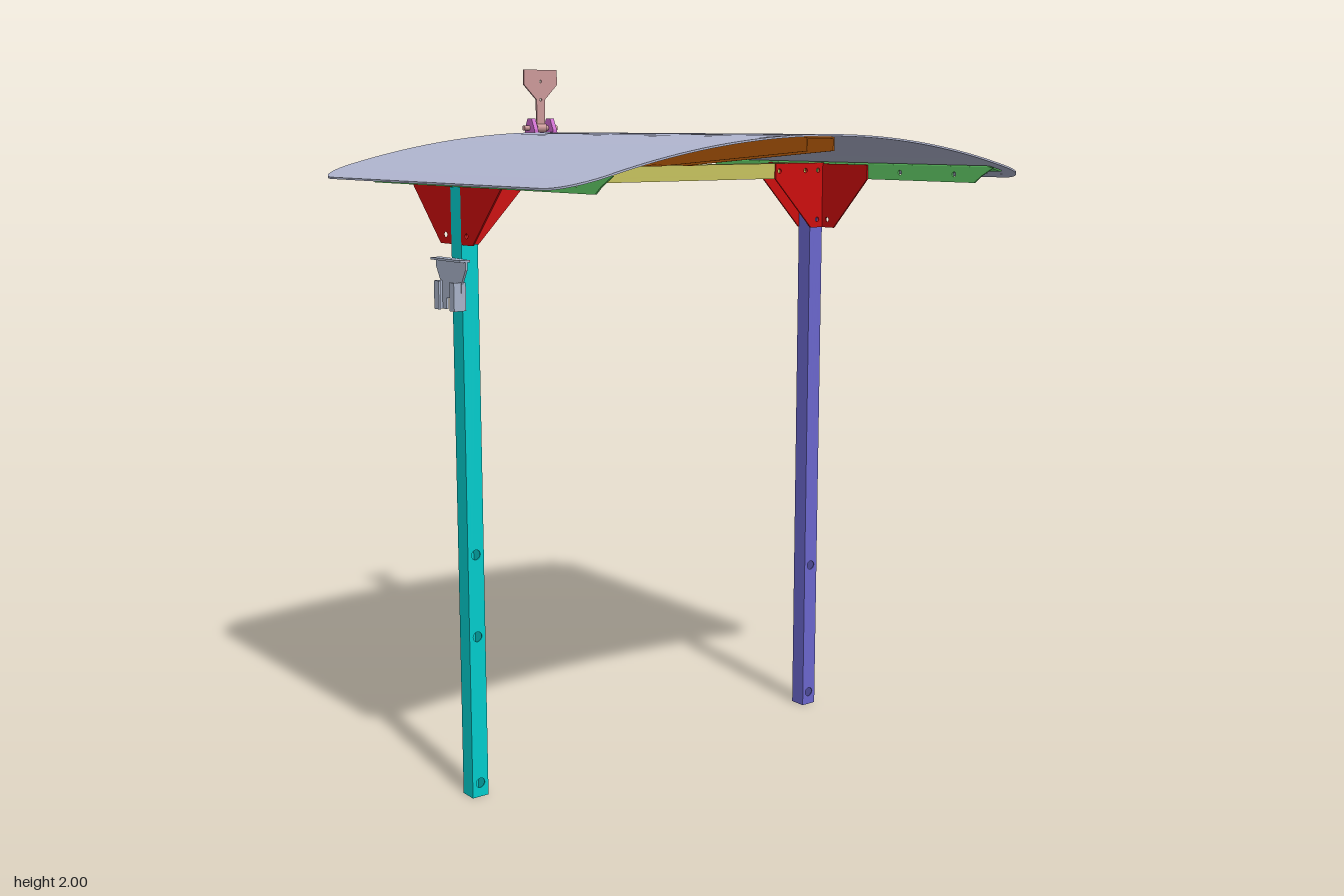
import * as THREE from 'three';

const mat = (name, color) => Object.assign(new THREE.MeshStandardMaterial({ color }), { name });
const M = {
  canopy: mat('pale blue grey', 0xb0b5cf),
  leftPost: mat('violet', 0x6a66cc),
  rightPost: mat('cyan', 0x00cccc),
  beam: mat('olive yellow', 0xc6c25e),
  red: mat('red', 0xcc0c0c),
  green: mat('green', 0x62cc66),
  orange: mat('burnt orange', 0xb85c08),
  magenta: mat('orchid', 0xcc66cc),
  pink: mat('dusty pink', 0xcc9999),
  holder: mat('steel blue grey', 0xa8b2c8),
};

function add(group, name, geometry, material, x = 0, y = 0, z = 0) {
  const mesh = new THREE.Mesh(geometry, material);
  mesh.name = name;
  mesh.position.set(x, y, z);
  group.add(mesh);
  return mesh;
}
const box = (w, h, d) => new THREE.BoxGeometry(w, h, d);

// Flat plate in the xy plane, centred on its thickness; holes are [x, y, radius]
function plate(points, t, holes = []) {
  const shape = new THREE.Shape(points.map(p => new THREE.Vector2(...p)));
  for (const [x, y, r] of holes) {
    const hole = new THREE.Path();
    hole.absarc(x, y, r, 0, Math.PI * 2, true);
    shape.holes.push(hole);
  }
  return new THREE.ExtrudeGeometry(shape, { depth: t, bevelEnabled: false, curveSegments: 8 }).translate(0, 0, -t / 2);
}
// The same, with the first coordinate running along z
const sidePlate = (points, t, holes) => plate(points, t, holes).rotateY(-Math.PI / 2);

// Hollow upright tube; holes are [height, front radius, back radius]
function tube(name, length, w, h, holes, material) {
  const g = new THREE.Group(), t = 0.004, a = w / 2;
  g.name = name;
  const face = [[-a, 0], [a, 0], [a, length], [-a, length]];
  [1, -1].forEach((s, i) => {
    const cuts = holes.filter(q => q[1 + i] > 0).map(q => [0, q[0], q[1 + i]]);
    add(g, i ? 'backWall' : 'frontWall', plate(face, t, cuts), material, 0, 0, s * (h / 2 - t / 2));
    add(g, 'sideWall', box(t, length, h - 2 * t), material, s * (a - t / 2), length / 2, 0);
  });
  return g;
}

// Arched sheet with rounded corners
const archY = x => 1.812 - 0.119 * (x / 0.78) ** 2;
function canopyGeometry() {
  const geo = new THREE.BoxGeometry(2, 1, 2, 64, 1, 1), p = geo.attributes.position;
  const r = 0.11, half = 0.78, depth = 0.6275;
  for (let i = 0; i < p.count; i++) {
    const x = half * Math.sin(p.getX(i) * Math.PI / 2);
    const c = Math.max(0, Math.abs(x) - (half - r));
    const z = depth - r + Math.sqrt(Math.max(0, r * r - c * c));
    p.setXYZ(i, x, archY(x) + (p.getY(i) > 0 ? 0 : -0.005), Math.sign(p.getZ(i)) * z + 0.0275);
  }
  geo.computeVertexNormals();
  return geo;
}

export function createModel() {
  const model = new THREE.Group();
  model.name = 'canopyStand';
  const Z = -0.07;
  add(model, 'canopy', canopyGeometry(), M.canopy);

  // Posts and cross beam
  const small = 0.007;
  const low = [[0.04, 0.014, small], [0.46, 0.014, small], [1.55, small, small]];
  const left = tube('leftPost', 1.675, 0.05, 0.05, low, M.leftPost);
  left.position.set(0.615, 0, Z);
  const right = tube('rightPost', 1.675, 0.05, 0.05, [...low, [0.69, 0.014, 0]], M.rightPost);
  right.position.set(-0.615, 0, Z);
  const bolts = [0.024, 0.075, 0.18, 1.1, 1.205, 1.256].map(q => [q, small, small]);
  const beam = tube('crossBeam', 1.28, 0.045, 0.05, bolts, M.beam);
  beam.rotation.z = -Math.PI / 2;
  beam.position.set(-0.64, 1.6985, Z);
  model.add(left, right, beam);

  for (const s of [1, -1]) {
    // Folded corner brackets: a gusset on each post face and a wing turned outward
    const gusset = [[0.64, 1.721], [0.445, 1.721], [0.445, 1.675], [0.59, 1.526], [0.64, 1.526]].map(([x, y]) => [s * x, y]);
    const gussetHoles = [[0.616, 1.6985], [0.565, 1.6985], [0.46, 1.6985], [0.615, 1.55]].map(([x, y]) => [s * x, y, small]);
    for (const f of [1, -1]) {
      const wing = [[0, 1.526], [0.055, 1.526], [0.195, 1.675], [0.195, 1.718], [0, 1.718]].map(([z, y]) => [f * z, y]);
      add(model, 'gusset', plate(gusset, 0.005, gussetHoles), M.red, 0, 0, Z + f * 0.0275);
      add(model, 'bracketWing', sidePlate(wing, 0.005, [[f * 0.027, 1.55, small]]), M.red, s * 0.6375, 0, Z + f * 0.025);
    }

    // Angle rail beneath each canopy edge
    const rail = [[-0.58, 1.72], [-0.53, 1.695], [-0.496, 1.676], [0.565, 1.676], [0.59, 1.695], [0.635, 1.72]];
    const railHoles = [-0.42, -0.2, 0.06, 0.28, 0.49].map(z => [z, 1.698, small]);
    add(model, 'railWeb', sidePlate(rail, 0.005, railHoles), M.green, s * 0.643, 0, 0);
    const flange = add(model, 'railFlange', box(0.052, 0.004, 1.18), M.green, s * 0.667, 1.7155, 0.0275);
    flange.rotation.z = -s * 0.25;

    // Central rib walls and mounting feet
    const wall = [[-0.605, 1.803], [-0.605, 1.77], [-0.18, 1.722], [0.04, 1.722], [0.63, 1.77], [0.63, 1.803]];
    add(model, 'ribWall', sidePlate(wall, 0.004), M.orange, s * 0.045, 0, 0);
    add(model, 'ribFoot', box(0.04, 0.004, 0.22), M.orange, s * 0.065, 1.7235, Z);

    // Clevis cheeks
    const cheek = [[-0.6, 1.785], [-0.602, 1.82], [-0.618, 1.853], [-0.64, 1.853], [-0.656, 1.82], [-0.656, 1.79], [-0.645, 1.781], [-0.61, 1.781]];
    add(model, 'clevisCheek', sidePlate(cheek, 0.014), M.magenta, s * 0.034, 0, 0);
  }
  add(model, 'ribTop', box(0.094, 0.004, 1.235), M.orange, 0, 1.803, 0.0125);

  // Clevis base, pin and flag-shaped paddle
  add(model, 'clevisBase', box(0.084, 0.03, 0.006), M.magenta, 0, 1.797, -0.604);
  add(model, 'clevisBridge', box(0.06, 0.012, 0.03), M.magenta, 0, 1.806, -0.62);
  add(model, 'pin', new THREE.CylinderGeometry(0.008, 0.008, 0.12, 16).rotateZ(Math.PI / 2), M.pink, 0, 1.825, -0.633);
  const paddle = [[-0.015, 1.815], [0.015, 1.815], [0.015, 1.91], [0.06, 1.955], [0.06, 2], [-0.06, 2], [-0.06, 1.955], [-0.015, 1.91]];
  add(model, 'paddle', plate(paddle, 0.006, [[0, 1.965, 0.004], [0, 1.91, 0.004]]), M.pink, 0, 0, -0.63);
  add(model, 'paddleHub', new THREE.CylinderGeometry(0.014, 0.014, 0.034, 16).rotateZ(Math.PI / 2), M.pink, 0, 1.825, -0.633);

  // Holder on the outside of the right post
  const holder = new THREE.Group();
  holder.name = 'sideHolder';
  const half = [[0.026, 1.355], [0.05, 1.355], [0.052, 1.425], [0.075, 1.465], [0.075, 1.49]];
  const outline = [...half, ...half.map(([z, y]) => [-z, y]).reverse(), [-0.026, 1.385], [0.026, 1.385]];
  add(holder, 'holderPlate', sidePlate(outline, 0.006), M.holder, -0.654, 0, 0);
  add(holder, 'holderSpacer', box(0.014, 0.05, 0.04), M.holder, -0.646, 1.43, 0);
  add(holder, 'holderLip', box(0.03, 0.006, 0.15), M.holder, -0.658, 1.487, 0);
  for (const f of [1, -1]) {
    add(holder, 'holderCheek', box(0.036, 0.075, 0.006), M.holder, -0.661, 1.393, f * 0.048);
    add(holder, 'holderFront', box(0.006, 0.075, 0.022), M.holder, -0.676, 1.393, f * 0.038);
  }
  holder.position.z = Z - 0.003;
  model.add(holder);
  return model;
}
